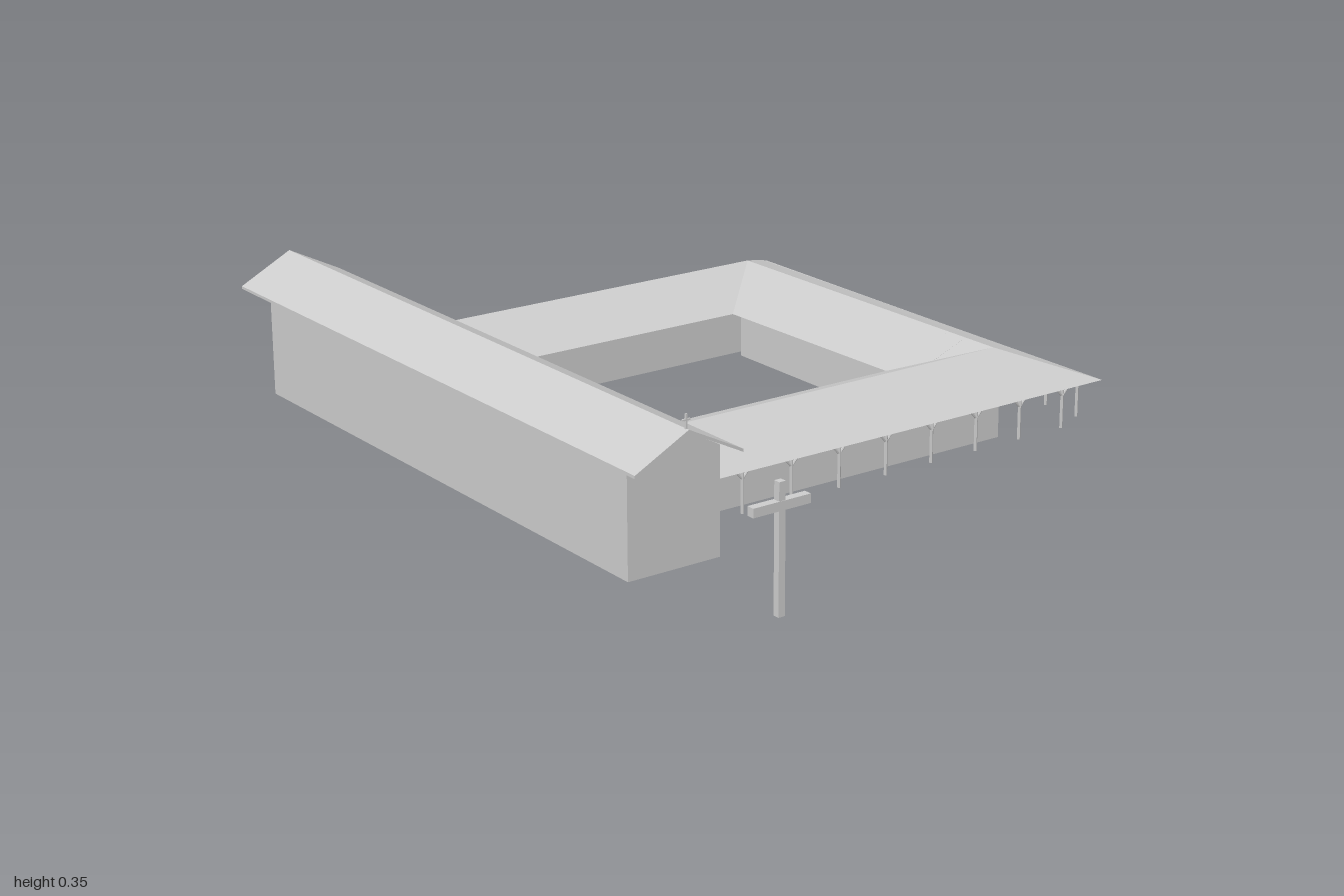
import * as THREE from 'three';

const grey = new THREE.MeshStandardMaterial({ color: 0xcccccc, flatShading: true });
const thin = new THREE.MeshStandardMaterial({ color: 0xcccccc, flatShading: true, side: THREE.DoubleSide });

export function createModel() {
  const model = new THREE.Group();

  const add = (name, geometry, material = grey, parent = model) => {
    const mesh = new THREE.Mesh(geometry, material);
    mesh.name = name;
    parent.add(mesh);
    return mesh;
  };
  const box = (name, x0, x1, y0, y1, z0, z1, parent = model) => {
    const mesh = add(name, new THREE.BoxGeometry(x1 - x0, y1 - y0, z1 - z0), grey, parent);
    mesh.position.set((x0 + x1) / 2, (y0 + y1) / 2, (z0 + z1) / 2);
    return mesh;
  };
  // Extrudes an (x, y) outline along z from z0 to z1
  const prism = (name, outline, z0, z1, parent = model) => {
    const shape = new THREE.Shape(outline.map(([x, y]) => new THREE.Vector2(x, y)));
    const geometry = new THREE.ExtrudeGeometry(shape, { depth: z1 - z0, bevelEnabled: false });
    return add(name, geometry.translate(0, 0, z0), grey, parent);
  };
  const rod = (name, a, b, radius, parent) => {
    const from = new THREE.Vector3(...a), dir = new THREE.Vector3(...b).sub(from);
    const mesh = add(name, new THREE.CylinderGeometry(radius, radius, dir.length(), 6), grey, parent);
    mesh.position.copy(from).addScaledVector(dir, 0.5);
    mesh.quaternion.setFromUnitVectors(new THREE.Vector3(0, 1, 0), dir.normalize());
  };

  // Long chapel with a gabled roof
  prism('chapelWalls', [[-0.73, 0], [-0.495, 0], [-0.495, 0.25], [-0.61, 0.312], [-0.73, 0.25]], -0.88, 0.64);
  prism('chapelRoof', [[-0.745, 0.243], [-0.61, 0.313], [-0.472, 0.243], [-0.472, 0.25],
    [-0.61, 0.32], [-0.745, 0.25]], -1, 0.69);

  // Small cross on the ridge
  const finial = new THREE.Group();
  finial.name = 'ridgeCross';
  model.add(finial);
  box('ridgeCrossPost', -0.612, -0.608, 0.315, 0.352, 0.678, 0.682, finial);
  box('ridgeCrossArm', -0.62, -0.6, 0.337, 0.341, 0.678, 0.682, finial);

  // Free-standing cross in front
  const cross = new THREE.Group();
  cross.name = 'yardCross';
  model.add(cross);
  box('yardCrossPost', -0.618, -0.602, 0.015, 0.3, 0.983, 0.999, cross);
  box('yardCrossArm', -0.682, -0.54, 0.24, 0.26, 0.981, 1, cross);

  // Cloister roof: outer eave, ridge and inner eave around three sides
  const lines = [
    { y: 0.11, p: [[-0.495, 0.5], [0.74, 0.5], [0.732, -0.815], [-0.495, -0.815]] },
    { y: 0.18, p: [[-0.495, 0.322], [0.555, 0.318], [0.545, -0.637], [-0.495, -0.637]] },
    { y: 0.11, p: [[-0.495, 0.14], [0.373, 0.14], [0.36, -0.455], [-0.495, -0.455]] },
  ];
  const positions = [];
  for (let row = 0; row < 2; row++) {
    for (let i = 0; i < 3; i++) {
      const v = (r, k) => [lines[r].p[k][0], lines[r].y, lines[r].p[k][1]];
      const a = v(row, i), b = v(row, i + 1), c = v(row + 1, i + 1), d = v(row + 1, i);
      positions.push(...a, ...b, ...c, ...a, ...c, ...d);
    }
  }
  const roof = new THREE.BufferGeometry();
  roof.setAttribute('position', new THREE.Float32BufferAttribute(positions, 3));
  roof.computeVertexNormals();
  add('cloisterRoof', roof, thin);

  // Rooms under the roof; section runs from inner wall to outer wall about the ridge
  const section = [[-0.17, 0], [0.105, 0], [0.105, 0.136], [0, 0.177], [-0.17, 0.111]];
  const east = prism('eastRooms', section, -0.44, 0.22);
  east.position.x = 0.545;
  const front = prism('frontRooms', section, -0.48, 0.495);
  front.rotation.y = -Math.PI / 2;
  front.position.z = 0.32;
  const back = prism('backRooms', section, -0.495, 0.5);
  back.rotation.y = Math.PI / 2;
  back.position.z = -0.637;

  // Porch posts with branching braces along the three outer sides
  const post = (x, z, alongX) => {
    const group = new THREE.Group();
    group.name = 'porchPost';
    model.add(group);
    rod('post', [x, 0, z], [x, 0.11, z], 0.004, group);
    for (const s of [-1, 1]) {
      const dx = alongX ? s * 0.025 : 0, dz = alongX ? 0 : s * 0.025;
      rod('brace', [x, 0.08, z], [x + dx, 0.108, z + dz], 0.003, group);
    }
  };
  for (let i = 0; i < 9; i++) {
    const x = -0.44 + i * 0.1356;
    post(x, 0.465, true);
    post(x, -0.788, true);
  }
  for (let i = 0; i < 12; i++) post(0.732, 0.425 - i * 0.107, false);

  // Beams carrying the eaves
  box('frontBeam', -0.495, 0.73, 0.106, 0.112, 0.462, 0.468);
  box('backBeam', -0.495, 0.73, 0.106, 0.112, -0.791, -0.785);
  box('eastBeam', 0.728, 0.734, 0.106, 0.111, -0.8, 0.48);

  return model;
}
